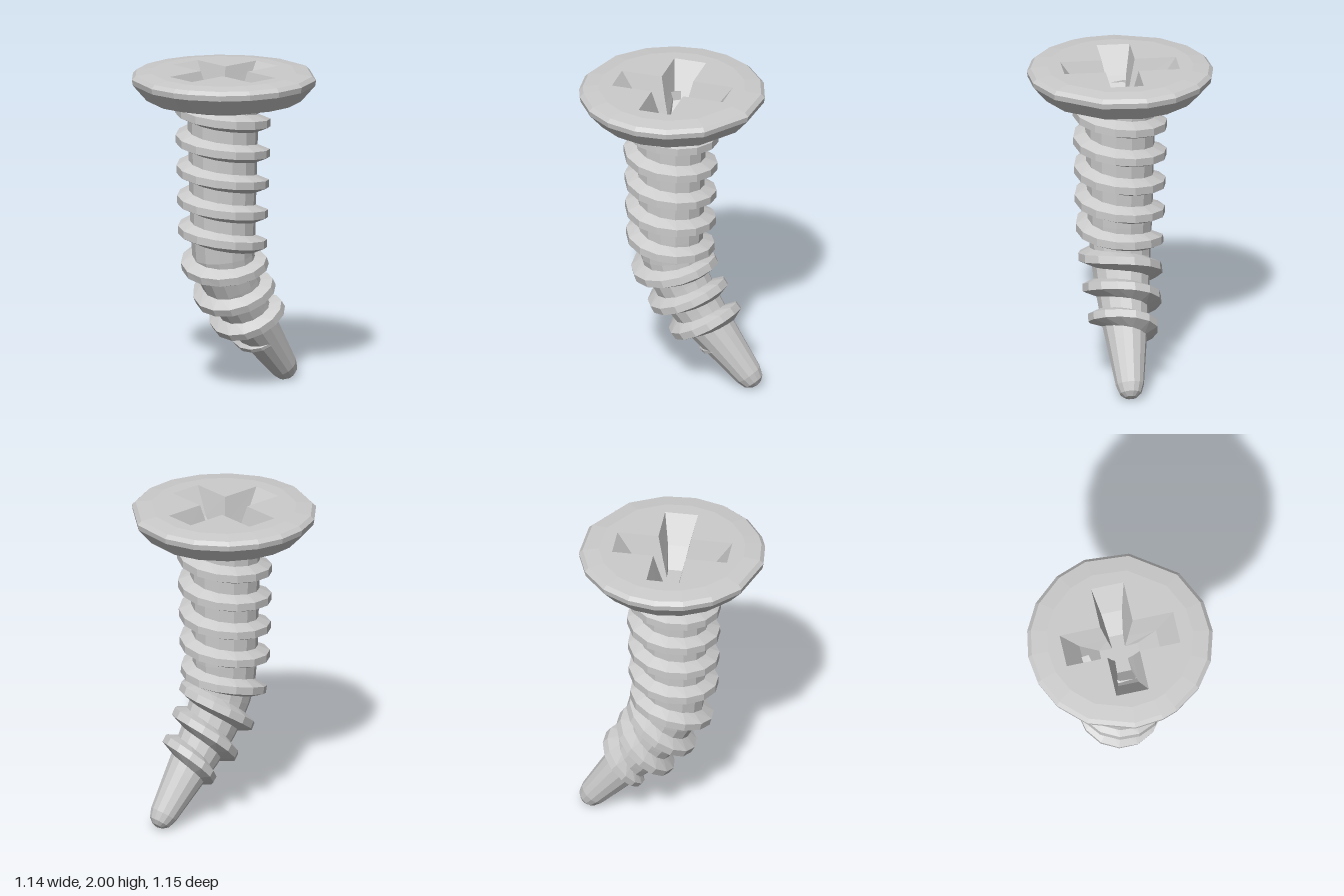
import * as THREE from 'three';

const material = new THREE.MeshStandardMaterial({ color: 0xcccccc, flatShading: true });

// Skin a list of rings (arrays of Vector3 with equal counts); rings are closed loops.
function loft(rings) {
  const n = rings[0].length, index = [];
  for (let i = 0; i < rings.length - 1; i++) {
    for (let j = 0; j < n; j++) {
      const k = (j + 1) % n;
      const a = i * n + j, b = i * n + k, c = (i + 1) * n + k, d = (i + 1) * n + j;
      index.push(a, b, c, a, c, d);
    }
  }
  const g = new THREE.BufferGeometry().setFromPoints(rings.flat());
  g.setIndex(index);
  g.computeVertexNormals();
  return g;
}

function part(name, geometry) {
  const mesh = new THREE.Mesh(geometry, material);
  mesh.name = name;
  return mesh;
}

// Horizontal face through a ring, optionally with a hole, facing up
function face(ring, hole) {
  const flat = (r) => r.map((p) => new THREE.Vector2(p.x, -p.z));
  const shape = new THREE.Shape(flat(ring));
  if (hole) shape.holes.push(new THREE.Path(flat(hole)));
  return new THREE.ShapeGeometry(shape).rotateX(-Math.PI / 2).translate(0, ring[0].y, 0);
}

// Linear interpolation through [position, value] pairs
function lookup(table, s) {
  for (let i = 1; i < table.length; i++) {
    const [s0, v0] = table[i - 1], [s1, v1] = table[i];
    if (s <= s1) return THREE.MathUtils.mapLinear(s, s0, s1, v0, v1);
  }
  return table[table.length - 1][1];
}

// Bent centre line, running from under the head down to the tip
const axis = new THREE.CatmullRomCurve3([
  [1.8, 0.01], [1.4, 0.01], [1.05, 0.01], [0.82, 0], [0.62, -0.085], [0.42, -0.22], [0.22, -0.385], [0.015, -0.545],
].map(([y, z]) => new THREE.Vector3(0, y, z)));
const LENGTH = axis.getLength();

// Point at arc length s, angle t and radius r round the axis, shifted along it by d
function around(s, t, r, d = 0) {
  const u = THREE.MathUtils.clamp(s / LENGTH, 0, 1);
  const T = axis.getTangentAt(u);
  const N = new THREE.Vector3(0, T.z, -T.y);
  const p = axis.getPointAt(u).addScaledVector(T, d).addScaledVector(N, r * Math.sin(t));
  p.x += r * Math.cos(t);
  return p;
}

// Shaft radius by arc length, ending in a rounded tip
const shaftRadius = [
  [0, 0.22], [0.8, 0.2], [1.0, 0.188], [1.25, 0.168], [1.45, 0.145], [LENGTH - 0.09, 0.087],
  [LENGTH - 0.035, 0.067], [LENGTH - 0.01, 0.037], [LENGTH, 0],
];

function shaft() {
  const stations = [0, 0.3, 0.6, 0.8, 0.95, 1.05, 1.15, 1.25, 1.35, 1.45, 1.6];
  stations.push(...shaftRadius.slice(-4).map(([s]) => s));
  return loft(stations.map((s) => Array.from({ length: 14 }, (_, j) =>
    around(s, (j / 14) * Math.PI * 2, lookup(shaftRadius, s)))));
}

// Helical ridge with a trapezoid section, fading out near the tip
function thread() {
  const pitch = 0.19, perTurn = 14, turns = 8.5, rings = [];
  for (let i = 0; i <= turns * perTurn; i++) {
    const turn = i / perTurn, s = pitch * turn;
    const fade = Math.min(1, (turns - turn) / 0.6);
    const r = lookup(shaftRadius, s), top = r + 0.076 * fade - 0.01 * (1 - fade);
    const w = 0.35 + 0.65 * fade;
    const t = Math.PI - turn * Math.PI * 2;
    rings.push([[-0.064, r - 0.02], [-0.024, top], [0.024, top], [0.064, r - 0.02]]
      .map(([d, radius]) => around(s, t, radius, d * w)));
  }
  return loft(rings);
}

// Uneven spacing of the facets round the head, in degrees
const headAngles = [6, 26, 45, 65, 75, 93, 123, 145, 164, 182, 199, 218, 240, 260, 288, 322, 346];
const headRing = (r, y) => headAngles.map((deg) => {
  const a = THREE.MathUtils.degToRad(deg);
  return new THREE.Vector3(r * Math.cos(a), y, r * Math.sin(a));
});

// Cross outline: arm length L, half width W at the arm end, inner corner at c
function crossRing(L, W, c, y) {
  const ring = [];
  for (let k = 0; k < 4; k++) {
    for (const [x, z] of [[L, -W], [L, W], [c, c]]) {
      ring.push(new THREE.Vector3(x, y, z).applyAxisAngle(new THREE.Vector3(0, 1, 0), -k * Math.PI / 2));
    }
  }
  return ring;
}

export function createModel() {
  const model = new THREE.Group();
  model.name = 'bentScrew';

  // Countersunk head
  const head = new THREE.Group();
  head.name = 'head';
  const profile = [[0.45, 2], [0.55, 1.988], [0.573, 1.965], [0.567, 1.93], [0.48, 1.83], [0.27, 1.78], [0.2, 1.775]];
  const rings = profile.map(([r, y]) => headRing(r, y));
  // Cross recess, narrowing in two steps to its floor
  const recess = [
    crossRing(0.12, 0.045, 0.04, 1.74),
    crossRing(0.24, 0.065, 0.066, 1.84),
    crossRing(0.357, 0.102, 0.102, 2),
  ];
  head.add(
    part('headRim', loft(rings)),
    part('headTop', face(rings[0], recess[2])),
    part('recessWalls', loft(recess)),
    part('recessFloor', face(recess[0])),
  );

  model.add(head, part('shaft', shaft()), part('thread', thread()));
  return model;
}
